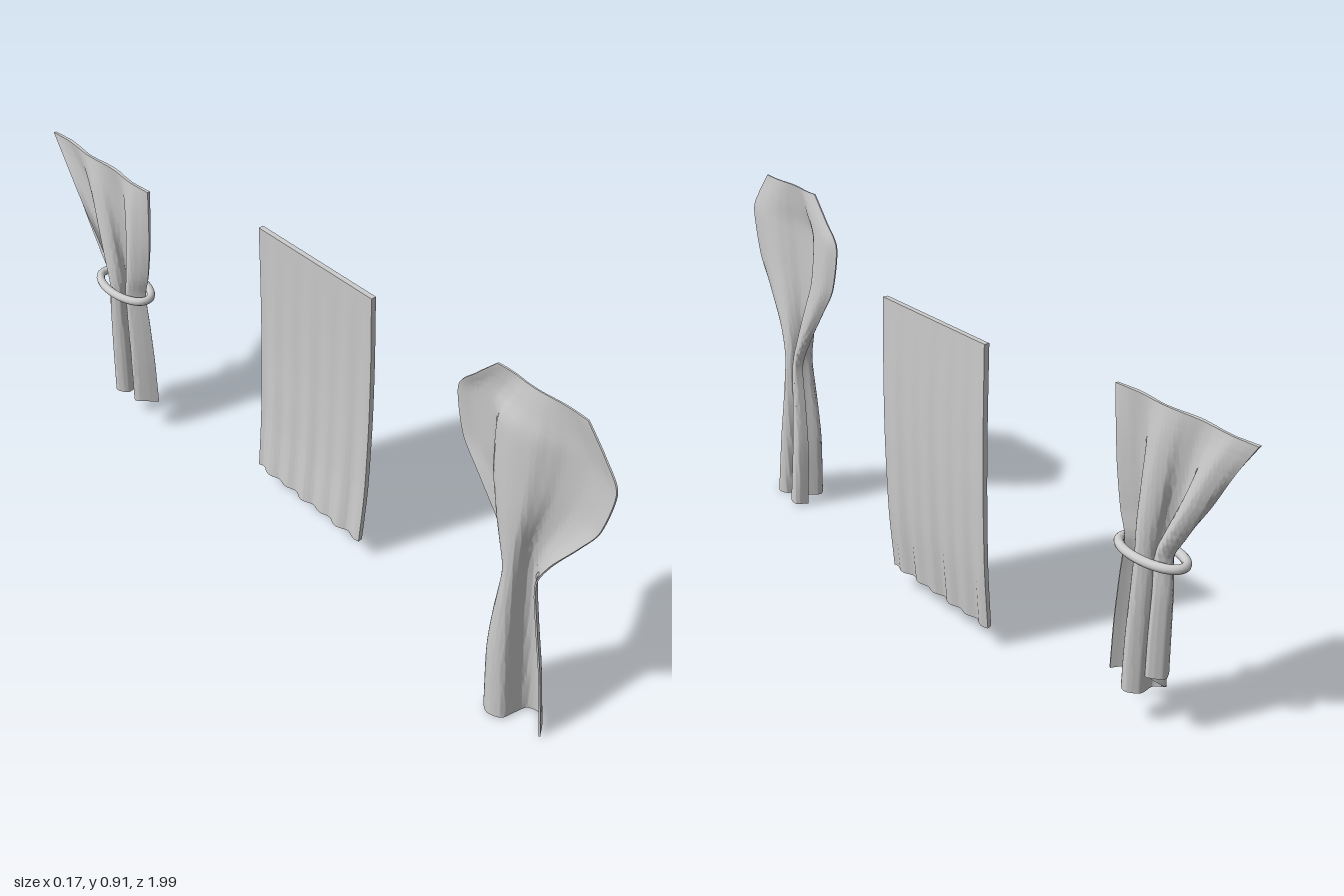
import * as THREE from 'three';
import { toCreasedNormals } from 'three/addons/utils/BufferGeometryUtils.js';

const material = new THREE.MeshStandardMaterial({ color: 0xcccccc, side: THREE.DoubleSide });

// Hanging cloth. rows, top to bottom: [y, zMin, zMax, x, fold depth, gather 0..1]
// pleats: the fully gathered section as [along, across] pairs, each -1..1
function drape(name, rows, pleats, thickness, hem = () => 0, nu = 120, nv = 70) {
  const curve = (pts) => new THREE.CatmullRomCurve3(pts, false, 'catmullrom', 0.4);
  const outline = curve(rows.map((r) => new THREE.Vector3(r[0], r[1], r[2])));
  const folding = curve(rows.map((r) => new THREE.Vector3(r[3], r[4], r[5])));
  const section = curve(pleats.map((p) => new THREE.Vector3(p[0], p[1], 0)));
  const point = (u, v) => {
    const o = outline.getPoint(v), f = folding.getPoint(v), s = section.getPoint(u);
    const along = THREE.MathUtils.lerp(2 * u - 1, s.x, f.z);
    return new THREE.Vector3(f.x + f.y * s.y, o.x + hem(u) * v ** 3,
      (o.y + o.z) / 2 + (o.z - o.y) / 2 * along);
  };
  const clamp = (t) => Math.min(1, Math.max(0, t));
  const normal = (u, v) => {
    const e = 0.004;
    const du = point(clamp(u + e), v).sub(point(clamp(u - e), v));
    const dv = point(u, clamp(v + e)).sub(point(u, clamp(v - e)));
    return du.cross(dv).normalize();
  };

  // Each row is a closed loop: out along one face and back along the other
  const pos = [], index = [], loop = 2 * (nu + 1);
  for (let j = 0; j <= nv; j++) {
    for (let k = 0; k < loop; k++) {
      const front = k <= nu, u = (front ? k : loop - 1 - k) / nu, v = j / nv;
      const p = point(u, v).addScaledVector(normal(u, v), (front ? -0.5 : 0.5) * thickness);
      pos.push(p.x, p.y, p.z);
    }
  }
  const quad = (a, b, c, d) => index.push(a, b, c, a, c, d);
  for (let j = 0; j < nv; j++) {
    for (let k = 0; k < loop; k++) {
      const n = (k + 1) % loop;
      quad(j * loop + k, j * loop + n, (j + 1) * loop + n, (j + 1) * loop + k);
    }
  }
  // Top and bottom hems
  const last = nv * loop;
  for (let k = 0; k < nu; k++) {
    const m = loop - 1 - k;
    quad(k, m, m - 1, k + 1);
    quad(last + k, last + k + 1, last + m - 1, last + m);
  }
  // Turn the faces outwards
  for (let i = 0; i < index.length; i += 3) [index[i + 1], index[i + 2]] = [index[i + 2], index[i + 1]];
  const geometry = new THREE.BufferGeometry();
  geometry.setAttribute('position', new THREE.Float32BufferAttribute(pos, 3));
  geometry.setIndex(index);
  const mesh = new THREE.Mesh(toCreasedNormals(geometry, 0.9), material);
  mesh.name = name;
  return mesh;
}

export function createModel() {
  const group = new THREE.Group();
  group.name = 'curtains';

  // Curtain pinched at the waist, with flared shoulders
  group.add(drape('pinchedCurtain', [
    [0.92, 0.65, 0.90, -0.03, 0.003, 0.1],
    [0.86, 0.59, 0.955, -0.03, 0.012, 0.15],
    [0.80, 0.54, 0.997, -0.032, 0.02, 0.25],
    [0.68, 0.56, 0.97, -0.03, 0.024, 0.35],
    [0.60, 0.61, 0.92, -0.028, 0.027, 0.5],
    [0.50, 0.675, 0.85, -0.025, 0.03, 0.75],
    [0.42, 0.712, 0.815, -0.023, 0.034, 0.9],
    [0.30, 0.70, 0.835, -0.024, 0.042, 1],
    [0.18, 0.69, 0.86, -0.025, 0.05, 1],
    [0.01, 0.698, 0.882, -0.025, 0.056, 1],
  ], [
    [-1, 0.4], [-0.85, 0.95], [-0.5, 0.85], [-0.45, 0.1], [-0.7, -0.6], [-0.4, -1],
    [-0.05, -0.75], [0.02, -0.1], [0.1, 0.5], [0.4, 0.7], [0.7, 0.35], [1, -0.3],
  ], 0.004, (u) => 0.004 * Math.sin(6 * u)));

  // Flat panel, rippling towards its hem
  const ripple = Array.from({ length: 31 }, (_, i) =>
    [i / 15 - 1, 0.7 * Math.sin(i * 1.25) + 0.3 * Math.sin(i * 0.7 + 1)]);
  group.add(drape('flatPanel', [
    [0.79, -0.245, 0.165, 0.072, 0, 0],
    [0.60, -0.246, 0.167, 0.074, 0.002, 0],
    [0.42, -0.246, 0.167, 0.073, 0.003, 0],
    [0.22, -0.245, 0.166, 0.066, 0.005, 0],
    [0.06, -0.243, 0.163, 0.053, 0.007, 0],
  ], ripple, 0.014));

  // Curtain drawn to one side through a ring
  group.add(drape('tiedCurtain', [
    [0.78, -0.995, -0.572, -0.03, 0.004, 0],
    [0.70, -0.94, -0.58, -0.03, 0.014, 0.12],
    [0.60, -0.88, -0.59, -0.03, 0.022, 0.35],
    [0.50, -0.815, -0.607, -0.03, 0.028, 0.75],
    [0.435, -0.778, -0.625, -0.03, 0.03, 1],
    [0.34, -0.782, -0.615, -0.03, 0.034, 1],
    [0.22, -0.782, -0.604, -0.03, 0.038, 1],
    [0.095, -0.782, -0.598, -0.03, 0.04, 1],
  ], [
    [-0.75, -0.4], [-0.95, 0.3], [-0.7, 0.95], [-0.5, 0.5], [-0.65, -0.3], [-0.4, -0.95],
    [-0.15, -0.5], [-0.2, 0.4], [0.05, 1], [0.3, 0.6], [0.3, -0.4], [0.55, -0.9], [0.8, -0.3], [0.97, 0.3],
  ], 0.008, (u) => 0.055 * THREE.MathUtils.smoothstep(0.4 - u, 0, 0.25) + 0.008 * Math.sin(9 * u)));

  // Oval tie ring
  const path = new THREE.CatmullRomCurve3(Array.from({ length: 24 }, (_, i) => {
    const a = (i / 24) * Math.PI * 2;
    return new THREE.Vector3(-0.03 + 0.047 * Math.cos(a), 0.432, -0.708 + 0.096 * Math.sin(a));
  }), true);
  const ring = new THREE.Mesh(new THREE.TubeGeometry(path, 64, 0.011, 12, true), material);
  ring.name = 'tieRing';
  group.add(ring);

  return group;
}
